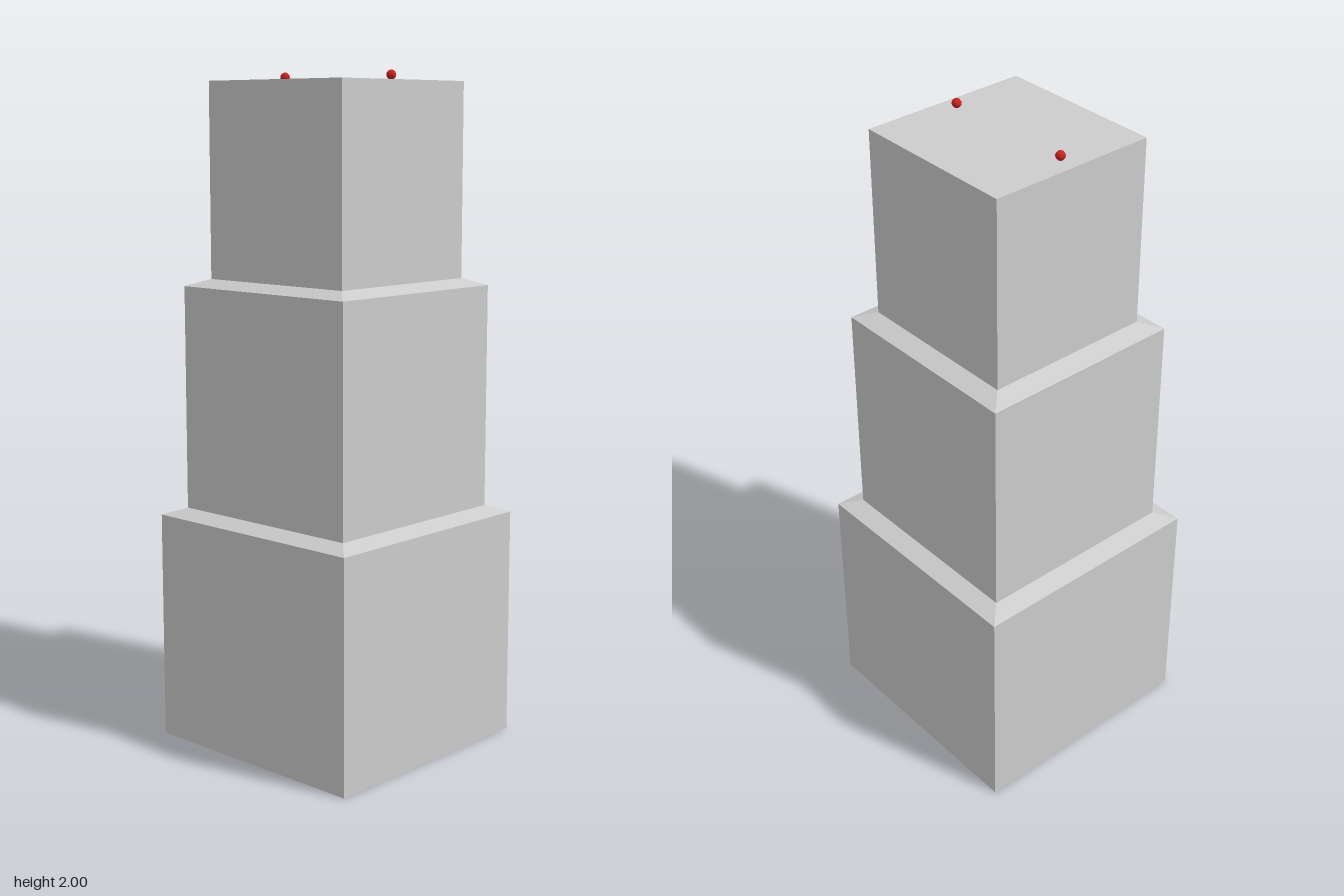
import * as THREE from 'three';

// Square prism or frustum, given by half widths and heights
function squareSection(name, halfBottom, halfTop, y0, y1, open, material) {
  const s = Math.SQRT2;
  const geometry = new THREE.CylinderGeometry(halfTop * s, halfBottom * s, y1 - y0, 4, 1, open)
    .rotateY(Math.PI / 4)
    .toNonIndexed();
  geometry.computeVertexNormals(); // crisp flat faces
  const mesh = new THREE.Mesh(geometry, material);
  mesh.name = name;
  mesh.position.y = (y0 + y1) / 2;
  return mesh;
}

export function createModel() {
  const model = new THREE.Group();
  model.name = 'steppedTower';

  const grey = new THREE.MeshStandardMaterial({ color: 0xcccccc });
  grey.name = 'light grey';
  const red = new THREE.MeshStandardMaterial({ color: 0xcc2222 });
  red.name = 'red';

  // Three stacked tiers joined by shallow sloping ledges
  model.add(
    squareSection('lowerTier', 0.373, 0.373, 0, 0.69, false, grey),
    squareSection('lowerLedge', 0.373, 0.317, 0.69, 0.711, true, grey),
    squareSection('middleTier', 0.317, 0.317, 0.711, 1.379, false, grey),
    squareSection('upperLedge', 0.317, 0.261, 1.379, 1.4, true, grey),
    squareSection('upperTier', 0.261, 0.261, 1.4, 1.972, false, grey)
  );

  // Small warning lights on the roof
  const bulb = new THREE.SphereGeometry(0.014, 8, 8);
  for (const side of [-1, 1]) {
    const light = new THREE.Mesh(bulb, red);
    light.name = side > 0 ? 'leftRoofLight' : 'rightRoofLight';
    light.position.set(side * 0.209, 1.986, 0);
    model.add(light);
  }
  return model;
}
